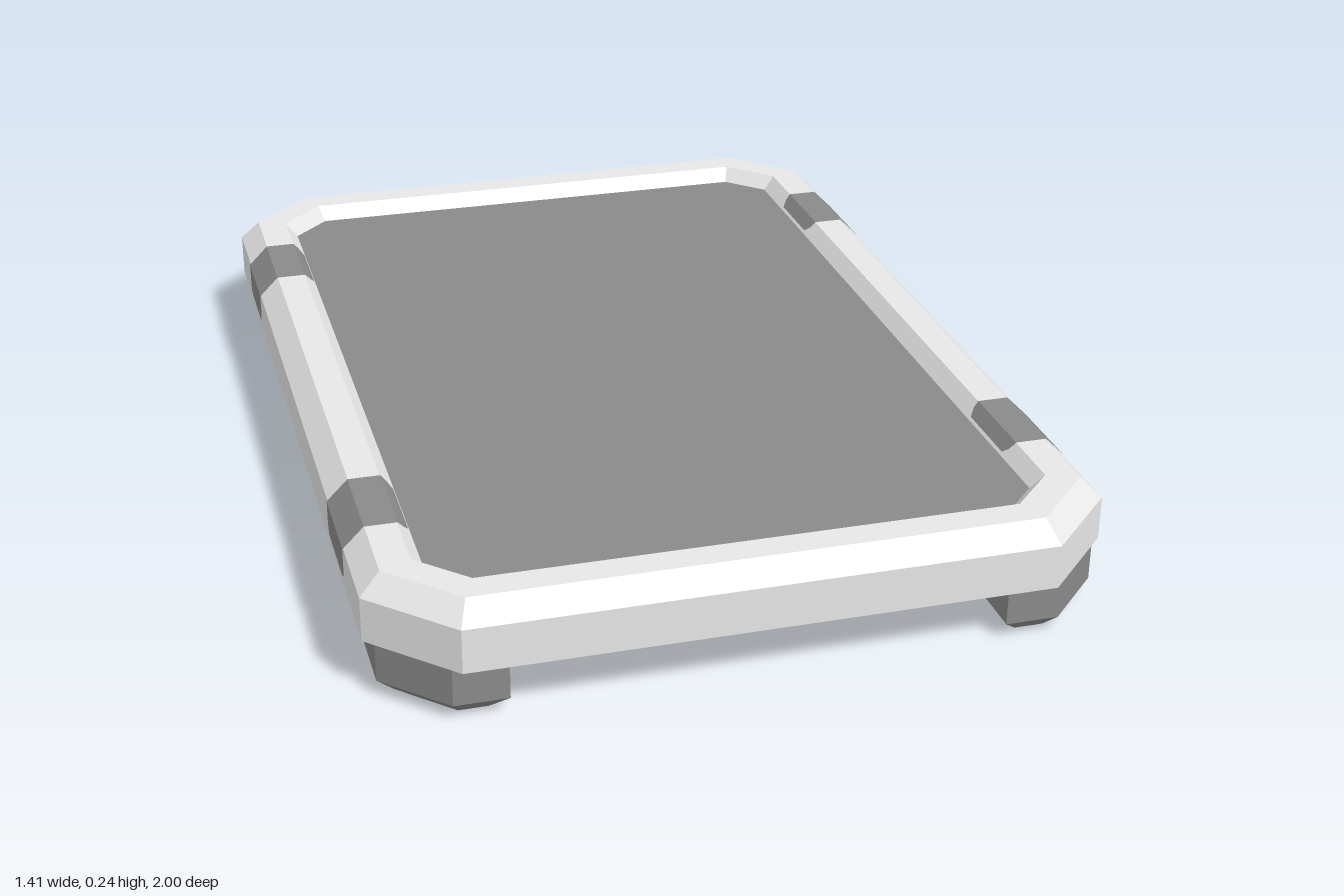
import * as THREE from 'three';

// Skin a list of rings (points [x, y, z], counter-clockwise from above), flat shaded
function loft(rings, { closed = true, bottom = false, top = false } = {}) {
  const pos = [];
  const tri = (a, b, c) => pos.push(...a, ...b, ...c);
  for (let r = 0; r < rings.length - 1; r++) {
    const lo = rings[r], hi = rings[r + 1], n = lo.length;
    for (let i = 0; i < (closed ? n : n - 1); i++) {
      const j = (i + 1) % n;
      tri(lo[i], lo[j], hi[j]);
      tri(lo[i], hi[j], hi[i]);
    }
  }
  const cap = (ring) => {
    for (let i = 1; i < ring.length - 1; i++) tri(ring[0], ring[i], ring[i + 1]);
  };
  if (top) cap(rings[rings.length - 1]);
  if (bottom) cap([...rings[0]].reverse());
  const g = new THREE.BufferGeometry();
  g.setAttribute('position', new THREE.Float32BufferAttribute(pos, 3));
  g.computeVertexNormals();
  return g;
}

// Chamfered rectangle of the table outline, moved inwards by d
function outline(d, y) {
  const x = 0.702 - d, z = 1 - d, c = 0.15 - 0.586 * d;
  return [
    [x, y, z - c], [x, y, c - z], [x - c, y, -z], [c - x, y, -z],
    [-x, y, c - z], [-x, y, z - c], [c - x, y, z], [x - c, y, z],
  ];
}

// Foot outline: square on the inner side, chamfered on the two outer corners
function footRing(d, y, sx, sz) {
  const x0 = 0.465 + d, x1 = 0.682 - d, z0 = 0.51 + d, z1 = 0.98 - d;
  const c1 = 0.115 - 0.586 * d, c2 = 0.08 - 0.586 * d;
  const pts = [
    [x1, z1 - c1], [x1, z0 + c2], [x1 - c2, z0], [x0, z0], [x0, z1], [x1 - c1, z1],
  ].map(([x, z]) => [x * sx, y, z * sz]);
  return sx * sz < 0 ? pts.reverse() : pts;
}

export function createModel() {
  const light = new THREE.MeshStandardMaterial({ color: 0xe7e7e7 });
  light.name = 'lightGrey';
  const dark = new THREE.MeshStandardMaterial({ color: 0x8a8a8a });
  dark.name = 'darkGrey';

  const group = new THREE.Group();
  group.name = 'lowTable';
  const add = (name, geometry, material) => {
    const mesh = new THREE.Mesh(geometry, material);
    mesh.name = name;
    group.add(mesh);
    return mesh;
  };

  // Bevelled body: flat underside, up the outside and down to the recessed panel
  add('body', loft([
    outline(0, 0.108), outline(0, 0.195), outline(0.04, 0.235),
    outline(0.1, 0.235), outline(0.125, 0.205),
  ], { bottom: true }), light);

  // Recessed top panel
  add('topPanel', loft([outline(0.125, 0.205)], { top: true }), dark);

  // Thin bands wrapped over the long sides: [x, y, half width]
  const band = [
    [0.704, 0.13, 0.075], [0.704, 0.137, 0.087], [0.704, 0.15, 0.093],
    [0.704, 0.196, 0.093], [0.663, 0.237, 0.093], [0.601, 0.237, 0.093],
    [0.59, 0.224, 0.09], [0.58, 0.212, 0.077],
  ];
  const bandGeometry = loft(band.map(([x, y, w]) => [[x, y, w], [x, y, -w]]), { closed: false });

  for (const sx of [-1, 1]) {
    for (const sz of [-1, 1]) {
      const where = (sz > 0 ? 'front' : 'back') + (sx > 0 ? 'Left' : 'Right');

      const strap = add(where + 'Band', bandGeometry, dark);
      strap.position.z = 0.583 * sz;
      if (sx < 0) strap.rotation.y = Math.PI;

      // Foot with a bevelled sole
      add(where + 'Foot', loft([
        footRing(0.033, 0, sx, sz), footRing(0, 0.032, sx, sz), footRing(0, 0.108, sx, sz),
      ], { bottom: true }), dark);
    }
  }
  return group;
}
